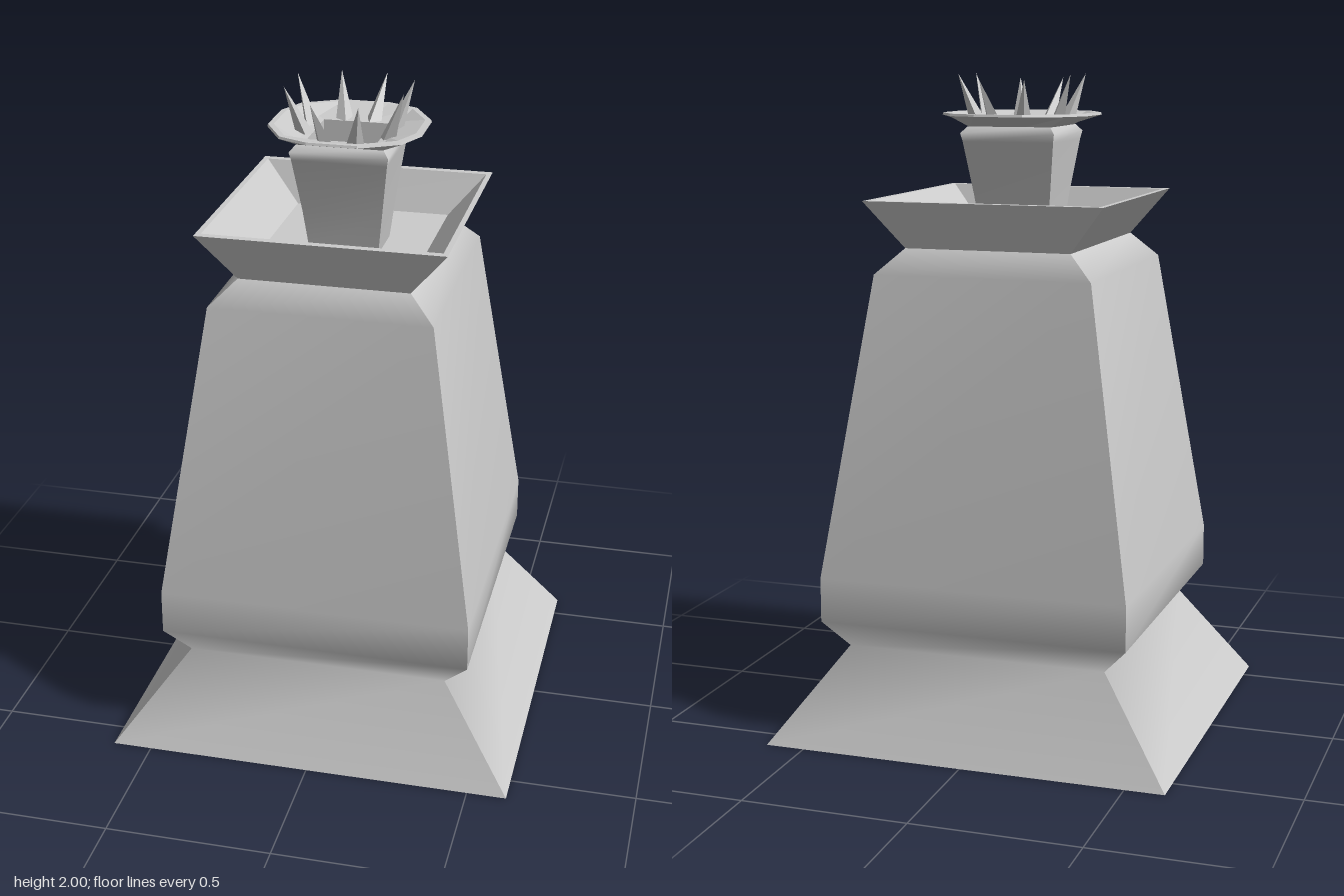
import * as THREE from 'three';

const material = new THREE.MeshStandardMaterial({ color: 0xcccccc });
const flatMaterial = new THREE.MeshStandardMaterial({ color: 0xcccccc, flatShading: true });

// Four-cornered ring with half-sizes x and z at height y
const rect = (x, z, y) => [[-x, y, z], [x, y, z], [x, y, -z], [-x, y, -z]];

// Twelve-point ring: three points of the front side, turned by quarters
function ring12(points, y) {
  const ring = [];
  for (let q = 0; q < 4; q++) {
    for (const p of points) {
      let [x, z] = p;
      for (let k = 0; k < q; k++) [x, z] = [z, -x];
      ring.push([x, y, z]);
    }
  }
  return ring;
}
const square12 = (h, y) => ring12([[-h / 3, h], [h / 3, h], [h, h]], y);
const round12 = (s, y) => ring12([[-0.075 * s, 0.23 * s], [0.075 * s, 0.23 * s], [0.19 * s, 0.165 * s]], y);

// Skin over rings; each side is its own strip, so corners stay sharp
function loft(name, rings, { capStart = false, capEnd = false, flat = false } = {}) {
  const pos = [], index = [], n = rings[0].length;
  for (let i = 0; i < n; i++) {
    const base = pos.length / 3;
    for (const ring of rings) pos.push(...ring[i], ...ring[(i + 1) % n]);
    for (let j = 0; j < rings.length - 1; j++) {
      const a = base + 2 * j;
      index.push(a, a + 1, a + 3, a, a + 3, a + 2);
    }
  }
  const cap = (ring, up) => {
    const base = pos.length / 3;
    pos.push(0, ring[0][1], 0, ...ring.flat());
    for (let i = 0; i < n; i++) {
      const a = base + 1 + i, b = base + 1 + (i + 1) % n;
      index.push(base, up ? a : b, up ? b : a);
    }
  };
  if (capStart) cap(rings[0], false);
  if (capEnd) cap(rings[rings.length - 1], true);
  const geometry = new THREE.BufferGeometry();
  geometry.setAttribute('position', new THREE.Float32BufferAttribute(pos, 3));
  geometry.setIndex(index);
  geometry.computeVertexNormals();
  const mesh = new THREE.Mesh(geometry, flat ? flatMaterial : material);
  mesh.name = name;
  return mesh;
}

// Thin four-sided spike leaning from its base centre to its tip
function spike(base, tip) {
  const height = tip[1] - base[1];
  const geometry = new THREE.ConeGeometry(0.026, height, 4);
  geometry.rotateY(Math.atan2(base[0], base[2]));
  geometry.translate(0, height / 2, 0);
  const p = geometry.attributes.position;
  for (let i = 0; i < p.count; i++) {
    const t = p.getY(i) / height;
    p.setXYZ(i,
      p.getX(i) + base[0] + t * (tip[0] - base[0]),
      p.getY(i) + base[1],
      p.getZ(i) + base[2] + t * (tip[2] - base[2]));
  }
  geometry.computeVertexNormals();
  const mesh = new THREE.Mesh(geometry, flatMaterial);
  mesh.name = 'spike';
  return mesh;
}

export function createModel() {
  const group = new THREE.Group();
  group.name = 'pedestal';

  // Flared foot, waist and tapering body
  group.add(loft('body', [
    rect(0.62, 0.59, 0),
    rect(0.4, 0.45, 0.295),
    rect(0.475, 0.495, 0.375),
    rect(0.475, 0.495, 0.51),
    rect(0.333, 0.386, 1.42),
    rect(0.255, 0.33, 1.495),
  ], { capStart: true }));

  // Open tray with sloping walls and a thin rim
  group.add(loft('tray', [
    rect(0.255, 0.33, 1.495),
    rect(0.368, 0.384, 1.635),
    rect(0.352, 0.36, 1.635),
    rect(0.242, 0.31, 1.51),
  ], { capEnd: true, flat: true }));

  // Square neck widening upwards
  group.add(loft('neck', [
    rect(0.105, 0.08, 1.51),
    rect(0.12, 0.1, 1.635),
    rect(0.142, 0.14, 1.8),
    rect(0.147, 0.148, 1.825),
    rect(0.13, 0.13, 1.845),
  ]));

  // Twelve-sided dish with a square well in the middle
  group.add(loft('dish', [
    square12(0.125, 1.843),
    round12(1, 1.877),
    round12(0.99, 1.884),
    round12(0.92, 1.884),
    square12(0.125, 1.858),
    square12(0.103, 1.855),
    square12(0.103, 1.78),
  ], { capEnd: true, flat: true }));

  // Ring of eight spikes, two on each side
  const spikes = new THREE.Group();
  spikes.name = 'spikes';
  for (const sx of [-1, 1]) {
    for (const sz of [-1, 1]) {
      spikes.add(spike([0.045 * sx, 1.855, 0.125 * sz], [0.07 * sx, 1.985, 0.195 * sz]));
      spikes.add(spike([0.125 * sx, 1.855, 0.045 * sz], [0.177 * sx, 2, 0.08 * sz]));
    }
  }
  group.add(spikes);
  return group;
}
